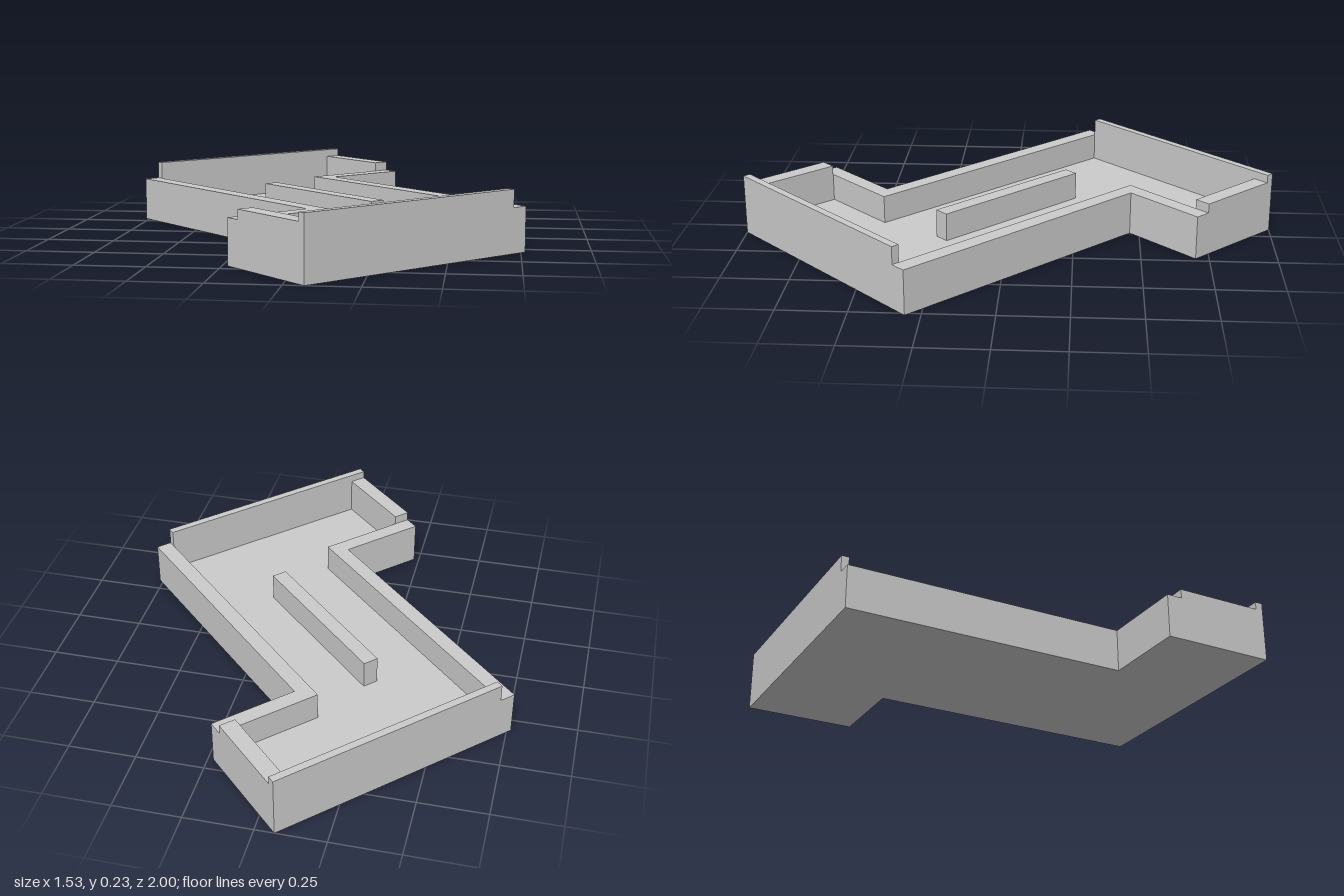
import * as THREE from 'three';

const material = new THREE.MeshStandardMaterial({ color: 0xcccccc, flatShading: true });

// Half-lengths in the tray's own axes: u along the spine, v across it
const OUT = { end: 0.757, step: 0.332, spine: 0.325, arm: 0.658 };
const IN = { end: 0.728, step: 0.392, spine: 0.265, arm: 0.596 };
const FLOOR = 0.06, RIM = 0.165, ARM_TOP = 0.2, TALL_TOP = 0.23;

// Z-shaped outline: half of the corners, repeated by a half turn
function zOutline({ end, step, spine, arm }) {
  const half = [[end, spine], [-step, spine], [-step, arm], [-end, arm]];
  return [...half, ...half.map(([u, v]) => [-u, -v])].map(([u, v]) => new THREE.Vector2(u, v));
}

function slab(name, shape, y0, y1) {
  const geo = new THREE.ExtrudeGeometry(shape, { depth: y1 - y0, bevelEnabled: false });
  geo.rotateX(-Math.PI / 2);
  geo.translate(0, y0, 0);
  const mesh = new THREE.Mesh(geo, material);
  mesh.name = name;
  return mesh;
}

// Box between two corners in u and v
function block(name, u0, u1, v0, v1, y0, y1) {
  const mesh = new THREE.Mesh(new THREE.BoxGeometry(u1 - u0, y1 - y0, v1 - v0), material);
  mesh.position.set((u0 + u1) / 2, (y0 + y1) / 2, -(v0 + v1) / 2);
  mesh.name = name;
  return mesh;
}

export function createModel() {
  const model = new THREE.Group();
  model.name = 'zTray';

  const tray = new THREE.Group();
  tray.name = 'tray';
  tray.rotation.y = -Math.PI / 4;
  model.add(tray);

  // Outer wall and the floor inside it
  const wall = new THREE.Shape(zOutline(OUT));
  wall.holes.push(new THREE.Path(zOutline(IN)));
  tray.add(slab('outerWall', wall, 0, RIM));
  tray.add(slab('floor', new THREE.Shape(zOutline(IN)), 0, FLOOR));

  // Central rib
  tray.add(block('centreRib', -0.33, 0.33, -0.029, 0.029, FLOOR, RIM));

  // Raised lips on each end, repeated by a half turn
  for (const [side, turn] of [['back', 0], ['front', Math.PI]]) {
    const lips = new THREE.Group();
    lips.name = side + 'Lips';
    lips.rotation.y = turn;
    lips.add(block('tallLip', -OUT.end, -IN.end, -IN.spine, OUT.arm, RIM, TALL_TOP));
    lips.add(block('armLip', -IN.end, -IN.step, IN.arm, OUT.arm, RIM, ARM_TOP));
    tray.add(lips);
  }
  return model;
}
